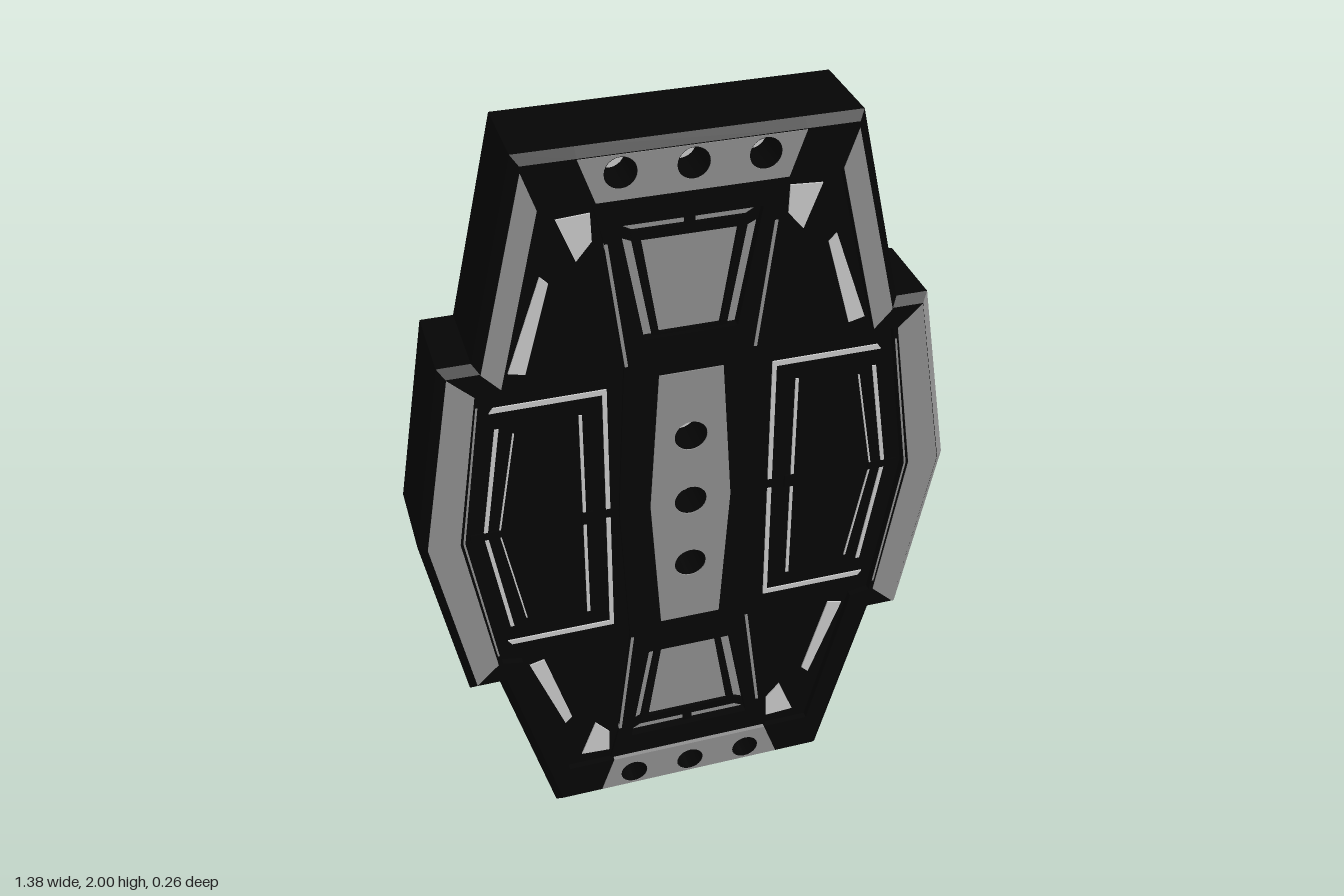
import * as THREE from 'three';

const DARK = 0x050505, GREY = 0x909090, LIGHT = 0xcccccc;
const mats = {};
const mat = (c) => (mats[c] ??= new THREE.MeshStandardMaterial({ color: c, side: THREE.DoubleSide }));

// Outline helpers: points are [x, y]
const sym = (pts) => [...pts, ...pts.map(([x, y]) => [-x, y]).reverse()];
const flipX = (pts) => pts.map(([x, y]) => [-x, y]);
const flipY = (pts) => pts.map(([x, y]) => [x, 2 - y]);
const both = (list) => list.flatMap((p) => [p, flipX(p)]);
const four = (list) => both(list.flatMap((p) => [p, flipY(p)]));
const band = (pts, w) => [...pts, ...pts.map(([x, y]) => [x - w, y]).reverse()];
const circle = (cx, cy, r, n = 24) => Array.from({ length: n }, (_, i) => {
  const a = (i / n) * Math.PI * 2;
  return [cx + r * Math.cos(a), cy + r * Math.sin(a)];
});
const vecs = (pts, ccw) => {
  const v = pts.map(([x, y]) => new THREE.Vector2(x, y));
  return (THREE.ShapeUtils.area(v) > 0) === ccw ? v : v.reverse();
};

export function createModel() {
  const model = new THREE.Group();
  model.name = 'armourPanel';

  const add = (name, color, geo) => {
    const mesh = new THREE.Mesh(geo, mat(color));
    mesh.name = name;
    model.add(mesh);
  };

  // Slab reaching from -z to +z, with optional holes
  const slab = (name, color, pts, z, holes = []) => {
    const shape = new THREE.Shape(vecs(pts, true));
    holes.forEach((h) => shape.holes.push(new THREE.Path(vecs(h, false))));
    const geo = new THREE.ExtrudeGeometry(shape, { depth: 2 * z, bevelEnabled: false });
    add(name, color, geo.translate(0, 0, -z));
  };

  // Bolt hole positions
  const topBolts = [-0.165, 0, 0.165].map((x) => [x, 1.935]);
  const midBolts = [0.795, 1, 1.2].map((y) => [0, y]);
  const holesAt = (list, r) => list.map(([x, y]) => circle(x, y, r));

  // Outer frame: full outline for the wall, smaller outline for the faces
  const outer = sym([[0.26, 2], [0.4, 2], [0.52, 1.5], [0.6, 1.5], [0.69, 1],
    [0.6, 0.5], [0.52, 0.5], [0.39, 0], [0.26, 0]]);
  const face = sym([[0.26, 1.98], [0.384, 1.98], [0.504, 1.48], [0.583, 1.48], [0.67, 1],
    [0.583, 0.52], [0.504, 0.52], [0.374, 0.02], [0.26, 0.02]]);
  const opening = sym([[0.35, 1.87], [0.457, 1.43], [0.51, 1.42], [0.572, 1], [0.51, 0.58], [0.457, 0.57], [0.35, 0.13]]);
  const frameHoles = [opening, ...holesAt([...topBolts, ...flipY(topBolts)], 0.036)];
  slab('frameWall', DARK, outer, 0.11, frameHoles);
  slab('frameFace', DARK, face, 0.13, frameHoles);

  // Chamfers joining wall and face; grey along one wing and the bottom middle
  outer.forEach((a, i) => {
    const j = (i + 1) % outer.length;
    const color = [3, 4, 8].includes(i) ? GREY : DARK;
    [1, -1].forEach((s) => {
      const quad = [[...a, 0.11], [...face[i], 0.13], [...face[j], 0.13], [...outer[j], 0.11]];
      const geo = new THREE.BufferGeometry();
      geo.setAttribute('position', new THREE.Float32BufferAttribute(quad.flatMap(([x, y, z]) => [x, y, z * s]), 3));
      geo.setIndex(s > 0 ? [0, 2, 1, 0, 3, 2] : [0, 1, 2, 0, 2, 3]);
      geo.computeVertexNormals();
      add('frameChamfer', color, geo);
    });
  });

  // Light core at the bottom of the bolt holes
  slab('core', LIGHT, sym([[0.3, 1.975], [0.3, 0.025]]), 0.03);

  // Dark inner panel, open behind the two column recesses and the bolts
  const recess = sym([[0.168, 1.8], [0.114, 1.495]]);
  const field = sym([[0.352, 1.88], [0.46, 1.44], [0.515, 1.43], [0.577, 1], [0.515, 0.57], [0.46, 0.56], [0.352, 0.12]]);
  slab('innerPanel', DARK, field, 0.112, [recess, flipY(recess), ...holesAt(midBolts, 0.045)]);

  // Light inlays: corner patches and shoulder slots
  four([
    [[0.352, 1.7], [0.333, 1.68], [0.398, 1.45], [0.438, 1.46]],
    [[0.31, 1.835], [0.232, 1.84], [0.23, 1.77], [0.268, 1.725]],
  ]).forEach((p) => slab('cornerInlay', LIGHT, p, 0.116));

  // Light inlays: side window outlines
  both([
    [[0.48, 1.372], [0.207, 1.372], [0.207, 1.015], [0.218, 1.015], [0.218, 1.358], [0.49, 1.358]],
    [[0.48, 0.628], [0.207, 0.628], [0.207, 0.985], [0.218, 0.985], [0.218, 0.642], [0.49, 0.642]],
    band([[0.48, 1.31], [0.528, 1], [0.48, 0.69]], 0.01),
    band([[0.438, 1.29], [0.49, 1], [0.438, 0.71]], 0.004),
    band([[0.277, 1.31], [0.277, 0.69]], 0.008),
  ]).forEach((p) => slab('windowInlay', LIGHT, p, 0.116));

  // Clips on the window inlays
  both([
    band([[0.282, 1.018], [0.282, 0.982]], 0.03),
    band([[0.56, 1.01], [0.56, 0.99]], 0.08),
  ]).forEach((p) => slab('windowClip', DARK, p, 0.119));

  // Central column
  const column = sym([[0.23, 1.87], [0.205, 1.77], [0.165, 1.42], [0.185, 1], [0.165, 0.58], [0.205, 0.23], [0.23, 0.13]]);
  slab('column', DARK, column, 0.12, [recess, flipY(recess), ...holesAt(midBolts, 0.04)]);
  four([band([[0.204, 1.76], [0.163, 1.43]], 0.008)])
    .forEach((p) => slab('columnTrim', GREY, p, 0.122));

  // Recessed trapezoid plates with dark rims, dividers and corner bars
  const rimOuter = sym([[0.14, 1.775], [0.09, 1.49]]);
  const rimInner = sym([[0.115, 1.75], [0.075, 1.5]]);
  const divider = sym([[0.012, 1.81], [0.012, 1.76]]);
  [(p) => p, flipY].forEach((f) => {
    slab('recessPlate', GREY, f(recess), 0.095);
    slab('recessRim', DARK, f(rimOuter), 0.106, [f(rimInner)]);
    slab('recessDivider', DARK, f(divider), 0.104);
  });
  four([[[0.17, 1.795], [0.168, 1.765], [0.125, 1.745], [0.125, 1.77]]])
    .forEach((p) => slab('recessCorner', DARK, p, 0.104));

  // Grey bolted plates: centre, top and bottom
  slab('centrePlate', GREY, sym([[0.08, 1.39], [0.105, 1], [0.08, 0.61]]), 0.123, holesAt(midBolts, 0.042));
  const endPlate = sym([[0.26, 1.978], [0.222, 1.87]]);
  slab('topPlate', GREY, endPlate, 0.132, holesAt(topBolts, 0.038));
  slab('bottomPlate', GREY, flipY(endPlate), 0.132, holesAt(flipY(topBolts), 0.038));

  // Grey strips on the upper shoulders and the side wings
  both([[[0.384, 1.965], [0.352, 1.872], [0.459, 1.43], [0.503, 1.478]]])
    .forEach((p) => slab('shoulderStrip', GREY, p, 0.132));
  both([[[0.582, 1.478], [0.668, 1], [0.582, 0.522], [0.522, 0.58], [0.588, 1], [0.522, 1.42]]])
    .forEach((p) => slab('wingPlate', GREY, p, 0.132));
  both([band([[0.522, 1.39], [0.581, 1], [0.522, 0.61]], 0.005)])
    .forEach((p) => slab('wingTrim', GREY, p, 0.131));

  return model;
}
